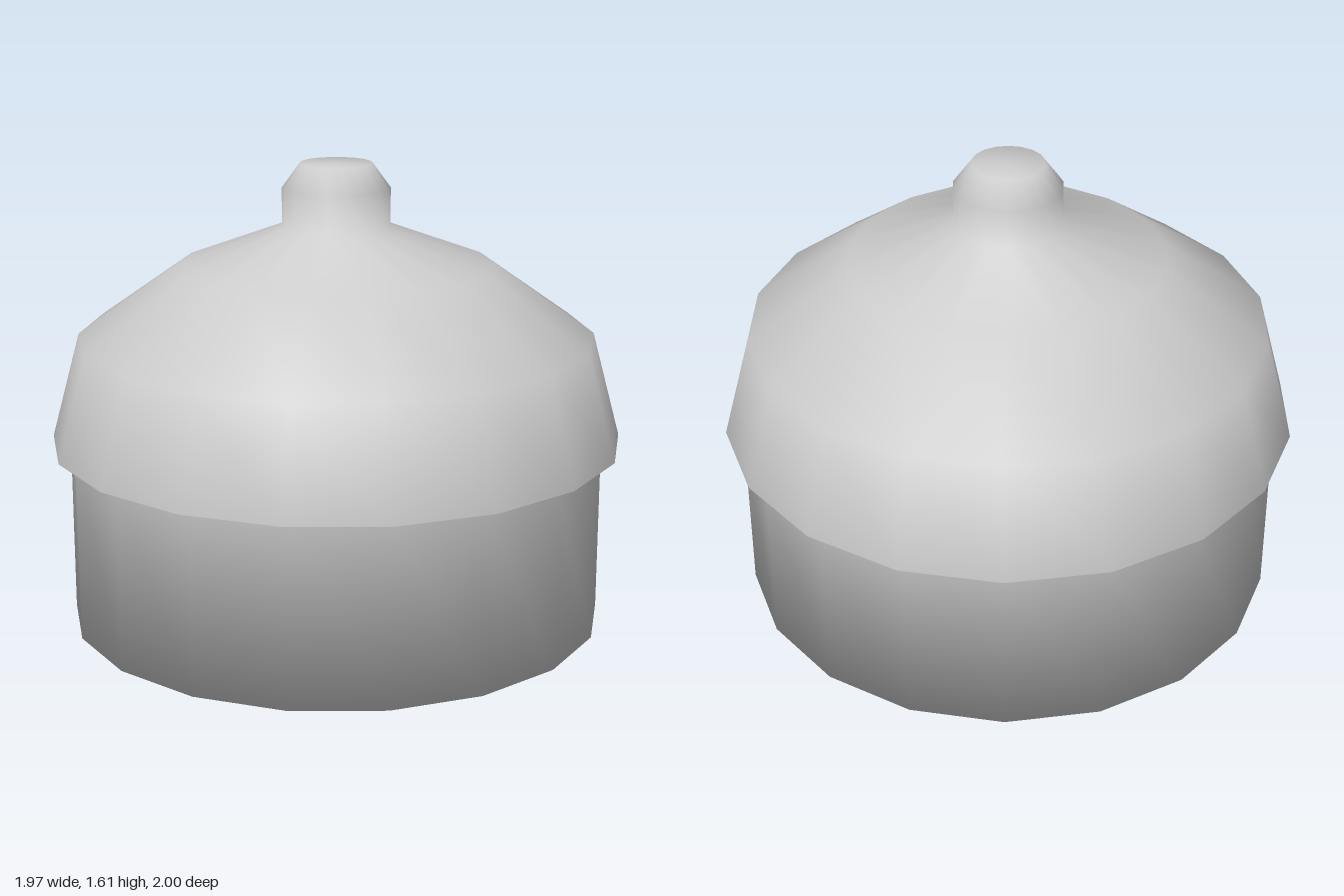
import * as THREE from 'three';

const SIDES = 18;

// Outline from the centre of the base up to the top of the knob: [radius, height]
const PROFILE = [
  [0, 0], [0.94, 0], [0.94, 0.64],                   // body
  [1, 0.64], [0.9, 1.01], [0.545, 1.26], [0.187, 1.395], // lid
  [0.187, 1.525], [0.125, 1.61], [0, 1.61],          // knob
];

export function createModel() {
  const group = new THREE.Group();
  group.name = 'liddedPot';
  const material = new THREE.MeshStandardMaterial({ color: 0xcccccc });

  // One turned surface, so the smooth shading runs on from part to part
  const turned = new THREE.LatheGeometry(PROFILE.map(([r, y]) => new THREE.Vector2(r, y)), SIDES);
  const rows = PROFILE.length - 1;

  // Takes the bands of the turned surface between two outline points
  function addPart(name, from, to) {
    const band = turned.clone();
    band.setIndex(Array.from(turned.index.array).filter((_, k) => {
      const row = Math.floor(k / 6) % rows;
      return row >= from && row < to;
    }));
    const mesh = new THREE.Mesh(band.toNonIndexed(), material);
    mesh.name = name;
    group.add(mesh);
  }

  addPart('body', 0, 2);
  addPart('lid', 2, 6);
  addPart('knob', 6, rows);

  return group;
}
